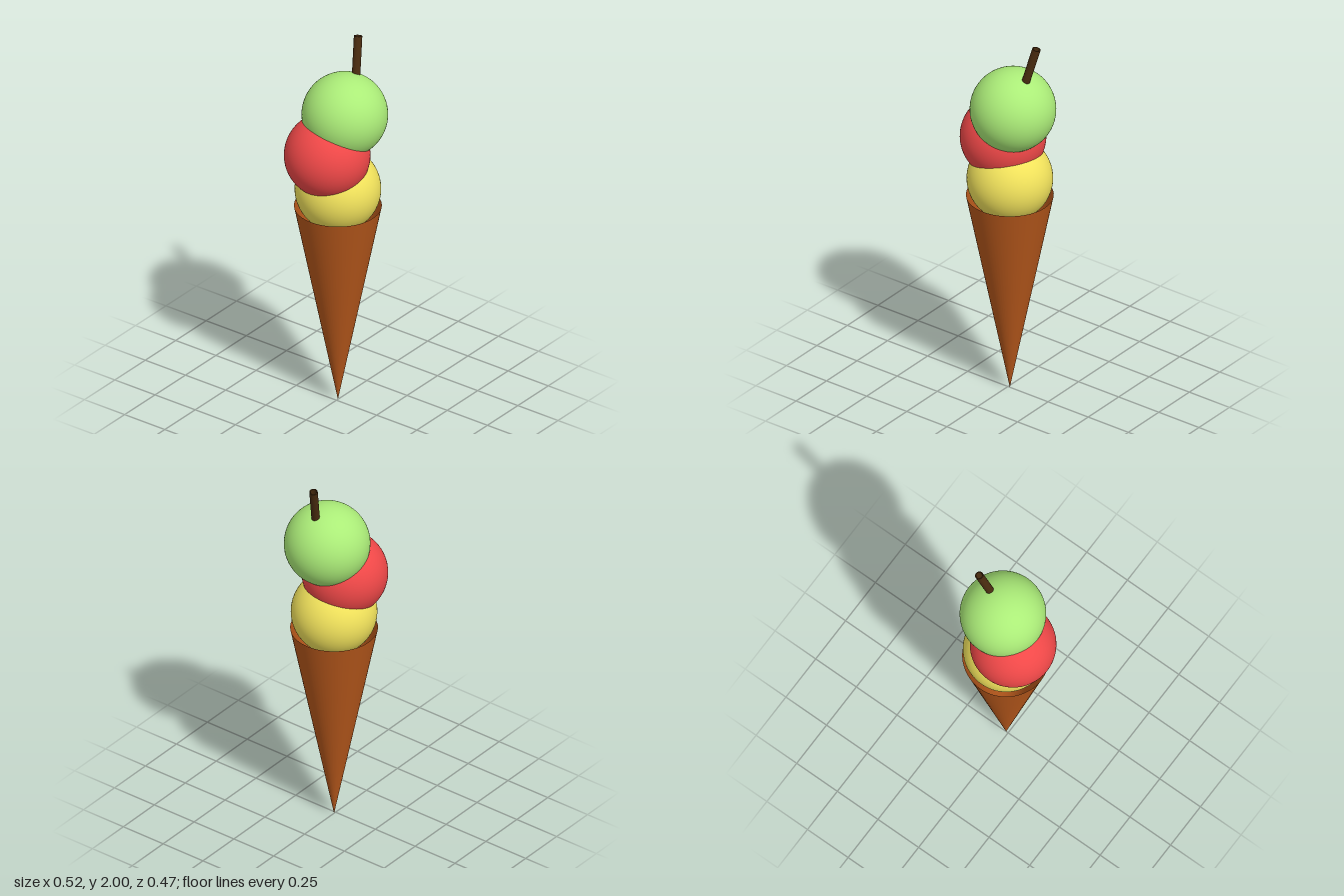
import * as THREE from 'three';

const paint = (color, side = THREE.FrontSide) => new THREE.MeshStandardMaterial({ color, side });

function addMesh(group, name, geometry, material, position = [0, 0, 0]) {
  const mesh = new THREE.Mesh(geometry, material);
  mesh.name = name;
  mesh.position.set(...position);
  group.add(mesh);
  return mesh;
}

export function createModel() {
  const model = new THREE.Group();
  model.name = 'iceCreamCone';

  // Open wafer cone, point down
  const coneHeight = 1.105;
  const cone = new THREE.CylinderGeometry(0.218, 0, coneHeight, 64, 1, true);
  addMesh(model, 'waferCone', cone, paint(0xb5571b, THREE.DoubleSide), [0.012, coneHeight / 2, 0]);

  // Three overlapping scoops stacked off-centre
  const scoop = new THREE.SphereGeometry(0.215, 64, 40);
  const scoops = [
    ['lowerScoop', 0xf2e35c, [0.012, 1.2, 0]],
    ['middleScoop', 0xf04848, [-0.047, 1.41, -0.022]],
    ['upperScoop', 0xabec78, [0.045, 1.614, 0.018]],
  ];
  for (const [name, color, position] of scoops) addMesh(model, name, scoop, paint(color), position);

  // Hollow wafer straw leaning out of the top scoop
  const top = new THREE.Vector3(0.178, 1.995, 0);
  const axis = new THREE.Vector3(0.048, 0.19, -0.024).normalize();
  const length = 0.36, outer = 0.021, inner = 0.016;
  const profile = [
    [inner, -length], [outer, -length], [outer, 0], [inner, 0], [inner, -length],
  ];
  // Each wall is lathed separately so its rims stay sharp
  const straw = new THREE.Group();
  straw.name = 'straw';
  const strawPaint = paint(0x4a2c10, THREE.DoubleSide);
  ['bottomRim', 'outerWall', 'topRim', 'innerWall'].forEach((name, i) => {
    const edge = [profile[i], profile[i + 1]].map(([r, y]) => new THREE.Vector2(r, y));
    addMesh(straw, name, new THREE.LatheGeometry(edge, 32), strawPaint);
  });
  straw.position.copy(top);
  straw.quaternion.setFromUnitVectors(new THREE.Vector3(0, 1, 0), axis);
  model.add(straw);

  return model;
}
